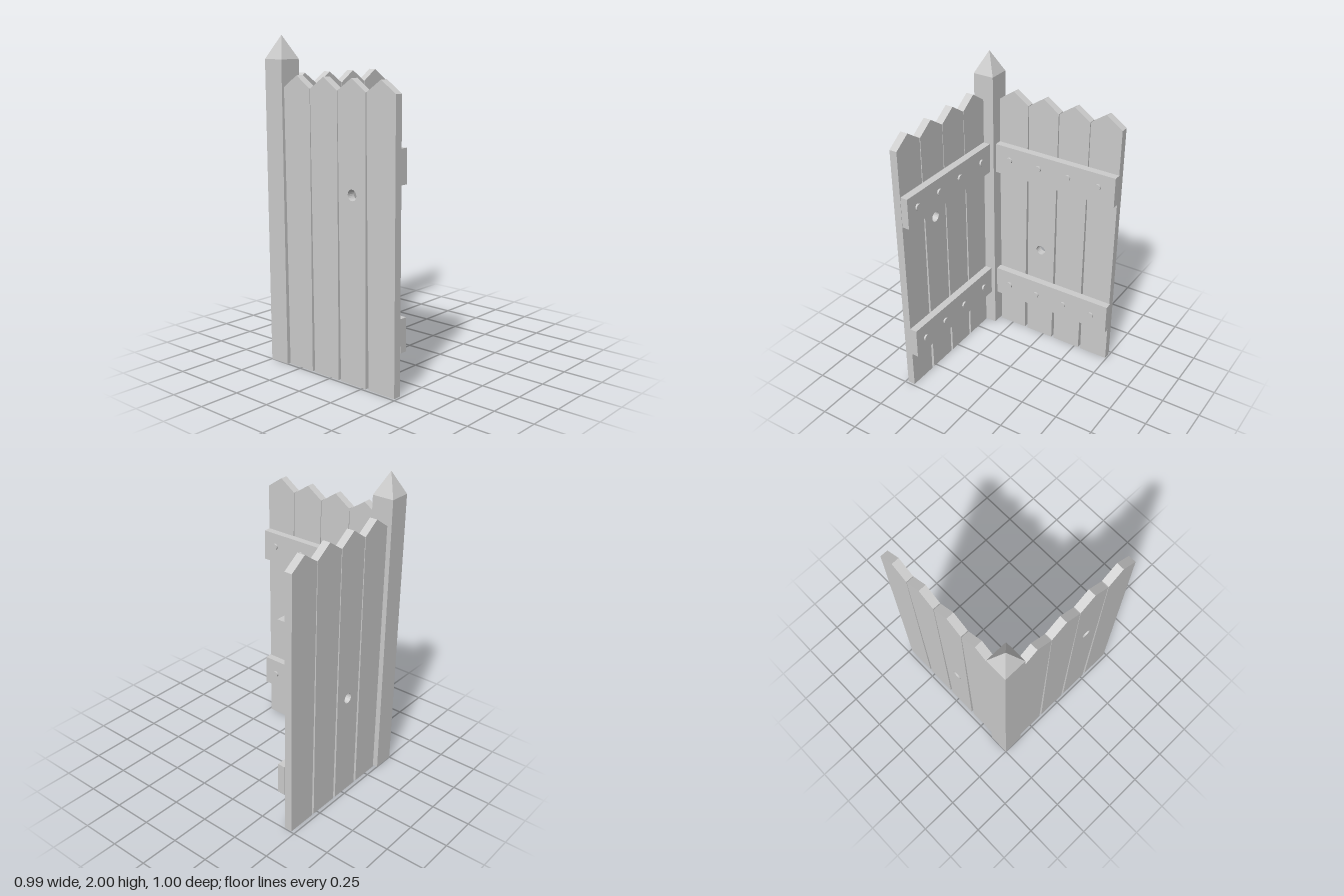
import * as THREE from 'three';

const material = new THREE.MeshStandardMaterial({ color: 0xcccccc, flatShading: true });

function addMesh(parent, name, geometry, x = 0, y = 0, z = 0) {
  const mesh = new THREE.Mesh(geometry, material);
  mesh.name = name;
  mesh.position.set(x, y, z);
  parent.add(mesh);
  return mesh;
}

// Pointed plank, slightly narrower at the foot, with an optional knot hole
function plankGeometry(top, foot, holeY) {
  const shape = new THREE.Shape();
  shape.moveTo(foot[0], 0);
  shape.lineTo(foot[1], 0);
  shape.lineTo(top[1], 1.7);
  shape.lineTo((top[0] + top[1]) / 2, 1.772);
  shape.lineTo(top[0], 1.7);
  shape.closePath();
  if (holeY) {
    const hole = new THREE.Path();
    hole.absarc((top[0] + top[1]) / 2, holeY, 0.033, 0, Math.PI * 2, true);
    shape.holes.push(hole);
  }
  return new THREE.ExtrudeGeometry(shape, { depth: 0.05, bevelEnabled: false, curveSegments: 10 });
}

// Fence panel running along x, with its outer side facing +z
function createPanel({ name, planks, holes, rail, railZ, bolts }) {
  const panel = new THREE.Group();
  panel.name = name;
  planks.forEach(([top, foot], i) => {
    addMesh(panel, 'plank', plankGeometry(top, foot, holes[i]), 0, 0, railZ);
  });
  for (const y of [0.356, 1.308]) {
    const length = rail[1] - rail[0];
    addMesh(panel, 'rail', new THREE.BoxGeometry(length, 0.2, 0.048),
      (rail[0] + rail[1]) / 2, y, railZ - 0.024);
    for (const x of bolts) {
      const bolt = addMesh(panel, 'bolt', new THREE.CylinderGeometry(0.021, 0.021, 0.012, 12),
        x, y > 1 ? 1.319 : 0.353, railZ - 0.054);
      bolt.rotation.x = Math.PI / 2;
    }
  }
  return panel;
}

export function createModel() {
  const model = new THREE.Group();
  model.name = 'cornerFence';

  // Square corner post with a pyramid tip
  const post = new THREE.Group();
  post.name = 'cornerPost';
  post.position.set(-0.43, 0, 0.43);
  addMesh(post, 'postShaft', new THREE.BoxGeometry(0.14, 1.86, 0.14), 0, 0.93, 0);
  const tip = new THREE.ConeGeometry(0.07 * Math.SQRT2, 0.14, 4, 1, true).rotateY(Math.PI / 4);
  addMesh(post, 'postTip', tip, 0, 1.93, 0);
  model.add(post);

  model.add(createPanel({
    name: 'frontPanel',
    planks: [
      [[-0.36, -0.148], [-0.352, -0.158]],
      [[-0.145, 0.067], [-0.138, 0.058]],
      [[0.07, 0.28], [0.077, 0.272]],
      [[0.285, 0.494], [0.294, 0.486]],
    ],
    holes: [0, 0, 1.122, 0],
    rail: [-0.355, 0.49],
    railZ: 0.433,
    bolts: [-0.254, -0.021, 0.19, 0.4],
  }));

  // The side panel runs along z; local x becomes z and local +z becomes -x
  const side = createPanel({
    name: 'sidePanel',
    planks: [
      [[-0.5, -0.291], [-0.492, -0.298]],
      [[-0.287, -0.077], [-0.28, -0.085]],
      [[-0.072, 0.138], [-0.066, 0.13]],
      [[0.143, 0.353], [0.152, 0.346]],
    ],
    holes: [0, 0, 0.688, 0],
    rail: [-0.5, 0.353],
    railZ: 0.425,
    bolts: [-0.385, -0.173, 0.037, 0.25],
  });
  side.rotation.y = -Math.PI / 2;
  model.add(side);

  return model;
}
